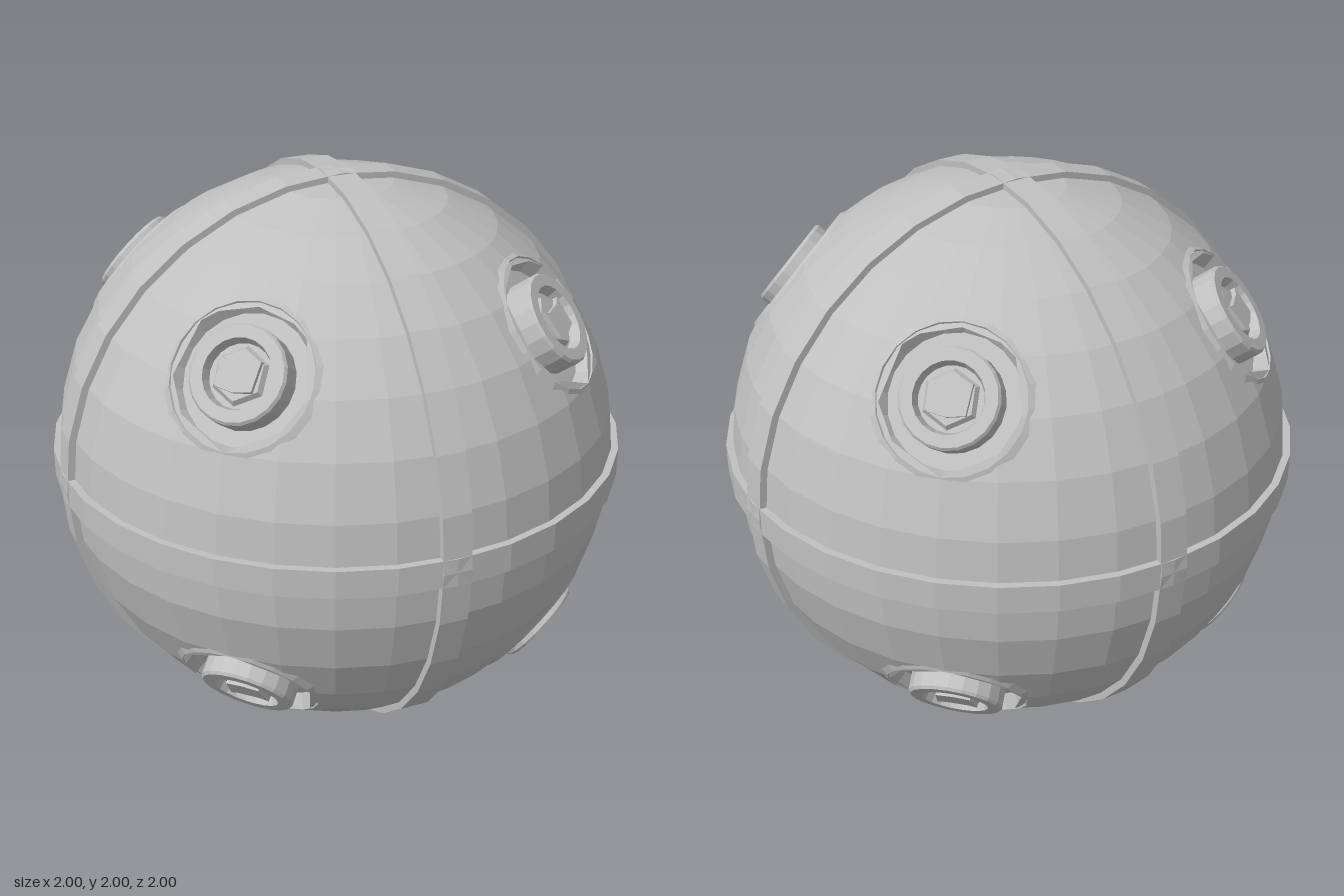
import * as THREE from 'three';

const grey = new THREE.MeshStandardMaterial({ color: 0xc0c0c0, flatShading: true });
grey.name = 'grey';

const ELEVATION = THREE.MathUtils.degToRad(37);
const HOLE_PLANE = 0.949;

// Outward directions of the eight ports
const directions = [];
for (const sy of [1, -1]) for (const sx of [1, -1]) for (const sz of [1, -1]) {
  const side = Math.cos(ELEVATION) * Math.SQRT1_2;
  directions.push(new THREE.Vector3(sx * side, sy * Math.sin(ELEVATION), sz * side));
}

// Keep the part of a polygon below the plane dot(p, dir) = d
function clip(poly, dir, d) {
  const out = [];
  poly.forEach((a, i) => {
    const b = poly[(i + 1) % poly.length];
    const da = a.dot(dir) - d, db = b.dot(dir) - d;
    if (da <= 0) out.push(a);
    if (da * db < 0) out.push(a.clone().lerp(b, da / (da - db)));
  });
  return out;
}

// Faceted sphere with a round opening for each port
function shellGeometry() {
  const sphere = new THREE.SphereGeometry(0.98, 32, 16).toNonIndexed();
  const pos = sphere.attributes.position;
  const points = [];
  for (let i = 0; i < pos.count; i += 3) {
    let poly = [0, 1, 2].map(k => new THREE.Vector3().fromBufferAttribute(pos, i + k));
    for (const dir of directions) poly = clip(poly, dir, HOLE_PLANE);
    for (let k = 1; k + 1 < poly.length; k++) points.push(poly[0], poly[k], poly[k + 1]);
  }
  const geometry = new THREE.BufferGeometry().setFromPoints(points);
  geometry.computeVertexNormals();
  return geometry;
}

function lathe(profile, sides) {
  return new THREE.LatheGeometry(profile.map(([r, h]) => new THREE.Vector2(r, h)), sides);
}

function addMesh(parent, geometry, name) {
  const mesh = new THREE.Mesh(geometry, grey);
  mesh.name = name;
  parent.add(mesh);
  return mesh;
}

export function createModel() {
  const model = new THREE.Group();
  model.name = 'panelledSphere';

  const body = new THREE.Group();
  body.position.y = 1;
  model.add(body);
  addMesh(body, shellGeometry(), 'shell');

  // Three raised bands crossing at right angles
  const bandGeometry = lathe([[0.95, -0.05], [1, -0.05], [1, 0.05], [0.95, 0.05]], 32);
  addMesh(body, bandGeometry, 'equatorBand');
  addMesh(body, bandGeometry, 'sideBand').rotation.x = Math.PI / 2;
  addMesh(body, bandGeometry, 'frontBand').rotation.z = Math.PI / 2;

  // Port: rim, sunken groove, raised boss and central cup
  const portGeometry = lathe([
    [0.268, 0.934], [0.243, 0.951], [0.216, 0.9], [0.163, 0.9], [0.163, 0.982],
    [0.155, 0.992], [0.115, 0.992], [0.105, 0.955], [0, 0.955],
  ], 20).rotateX(Math.PI / 2);

  const hexGeometry = new THREE.CylinderGeometry(0.085, 0.098, 0.02, 6)
    .rotateX(Math.PI / 2).translate(0, 0, 0.964);

  // Notched key in the middle of the cup
  const keyShape = new THREE.Shape([
    [-0.07, 0.05], [-0.06, -0.05], [0, -0.06], [0.06, -0.05],
    [0.07, 0.05], [0.04, 0.035], [-0.04, 0.035],
  ].map(([x, y]) => new THREE.Vector2(x, y)));
  const keyGeometry = new THREE.ExtrudeGeometry(keyShape, { depth: 0.025, bevelEnabled: false })
    .translate(0, 0, 0.965);

  for (const dir of directions) {
    const port = new THREE.Group();
    port.name = 'port';
    addMesh(port, portGeometry, 'portHousing');
    addMesh(port, hexGeometry, 'hexSeat');
    addMesh(port, keyGeometry, 'key');
    port.lookAt(dir);
    if (dir.y < 0) port.rotateZ(Math.PI);
    body.add(port);
  }
  return model;
}
